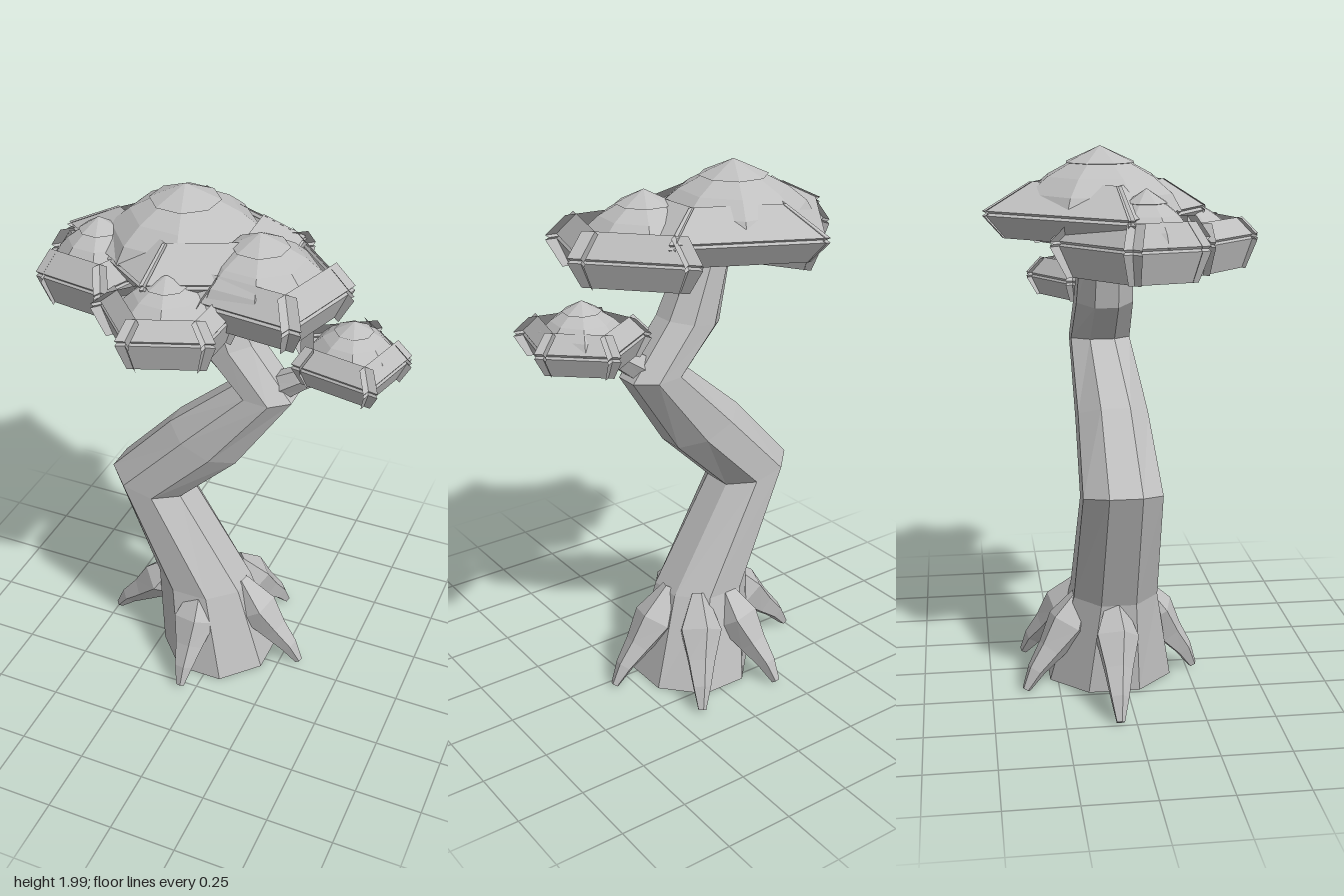
import * as THREE from 'three';

const stone = new THREE.MeshStandardMaterial({ color: 0xc0c0c0, flatShading: true, side: THREE.DoubleSide });
stone.name = 'plain grey';

// Skin a list of rings (arrays of Vector3); wrapped rings close round, the last ring can be capped
function loft(name, rings, wrap, cap) {
  const pos = [];
  const tri = (a, b, c) => [a, b, c].forEach((p) => pos.push(p.x, p.y, p.z));
  const n = rings[0].length;
  for (let i = 0; i < rings.length - 1; i++) {
    for (let j = 0; j < (wrap ? n : n - 1); j++) {
      const k = (j + 1) % n, lo = rings[i], hi = rings[i + 1];
      tri(lo[j], hi[j], lo[k]);
      tri(lo[k], hi[j], hi[k]);
    }
  }
  if (cap) {
    const last = rings[rings.length - 1];
    for (let j = 1; j < n - 1; j++) tri(last[0], last[j + 1], last[j]);
  }
  const geo = new THREE.BufferGeometry();
  geo.setAttribute('position', new THREE.Float32BufferAttribute(pos, 3));
  geo.computeVertexNormals();
  const mesh = new THREE.Mesh(geo, stone);
  mesh.name = name;
  return mesh;
}

// Tapered limb through points [x, y, z, radius]
function limb(name, pts, sides) {
  const v = pts.map((p) => new THREE.Vector3(p[0], p[1], p[2]));
  const rings = v.map((p, i) => {
    const t = v[Math.min(i + 1, v.length - 1)].clone().sub(v[Math.max(i - 1, 0)]).normalize();
    const side = new THREE.Vector3(0, 1, 0).cross(t).normalize();
    const up = t.clone().cross(side);
    return Array.from({ length: sides }, (_, j) => {
      const a = (-j / sides) * Math.PI * 2;
      return p.clone().addScaledVector(side, Math.cos(a) * pts[i][3]).addScaledVector(up, Math.sin(a) * pts[i][3]);
    });
  });
  return loft(name, rings, true, true);
}

// Bent trunk, open at the foot: [centre x, y, centre z, radius x, radius z, tilt]
function trunk() {
  const rows = [
    [-0.02, 0.01, -0.05, 0.22, 0.235, 0],
    [-0.085, 0.36, -0.035, 0.175, 0.16, 0],
    [-0.30, 0.795, -0.032, 0.145, 0.145, -0.035],
    [-0.07, 1.03, -0.04, 0.135, 0.13, -0.06],
    [0.15, 1.28, -0.06, 0.115, 0.112, -0.01],
    [0.0, 1.45, -0.06, 0.11, 0.105, 0.02],
    [-0.09, 1.72, -0.06, 0.08, 0.09, 0],
  ];
  return loft('trunk', rows.map(([x, y, z, rx, rz, tilt]) => Array.from({ length: 8 }, (_, j) => {
    const a = ((j + 0.5) / 8) * Math.PI * 2, c = Math.cos(a) / 0.95;
    return new THREE.Vector3(x + rx * c, y + tilt * c, z + (rz * Math.sin(a)) / 0.95);
  })), true, true);
}

// Claw-like root reaching from the trunk down to a tip on the ground
function root(tx, tz) {
  const cx = -0.06, cz = -0.04;
  const at = (f, y, r) => [cx + (tx - cx) * f, y, cz + (tz - cz) * f, r];
  return limb('root', [at(0.32, 0.37, 0.03), at(0.5, 0.25, 0.085), at(0.7, 0.16, 0.055),
    at(0.87, 0.09, 0.036), at(0.985, 0.02, 0.016)], 5);
}

// Foliage pad: faceted dome ringed by folded plates; spread is how far they overshoot the corners,
// inner is how far in the roof of each plate reaches
function pad(name, { cx, cz, dome, bottom, lip, top, rim, spread = 0.13, inner = 0.74 }) {
  const g = new THREE.Group();
  g.name = name;
  const h = top - lip;

  // Dome with an overhanging cap and a bowl beneath
  const profile = [[0, bottom + 0.01], [0.45, bottom + 0.025], [0.8, lip - 0.03], [0.95, lip],
    [0.84, lip + h * 0.27], [0.62, lip + h * 0.53], [0.36, lip + h * 0.73], [0.4, lip + h * 0.74], [0, top]];
  const body = new THREE.Mesh(
    new THREE.LatheGeometry(profile.map(([r, y]) => new THREE.Vector2(r * dome, y)), 8, 0.3), stone);
  body.position.set(cx, 0, cz);
  body.name = 'dome';
  g.add(body);

  // One folded plate per side: skirt, thin lip, roof
  const mx = rim.reduce((s, p) => s + p[0], 0) / rim.length;
  const mz = rim.reduce((s, p) => s + p[1], 0) / rim.length;
  rim.forEach((p, i) => {
    const q = rim[(i + 1) % rim.length];
    const row = (scale, y, over) => [-over, 1 + over].map((t) => new THREE.Vector3(
      mx + (p[0] + (q[0] - p[0]) * t - mx) * scale, y, mz + (p[1] + (q[1] - p[1]) * t - mz) * scale));
    g.add(loft('edgePlate', [row(0.84, bottom, spread * 0.8), row(1, lip - 0.012, spread),
      row(0.97, lip - 0.004, spread * 0.9), row(1, lip + 0.004, spread),
      row(inner, lip + h * 0.45, spread * 1.3)], false, false));
  });
  return g;
}

export function createModel() {
  const model = new THREE.Group();
  model.name = 'bentTree';
  model.add(trunk());

  // Roots
  [[-0.5, -0.06], [-0.06, 0.28], [0.33, -0.04], [0.15, -0.37], [-0.2, -0.38]].forEach(([x, z]) => model.add(root(x, z)));

  // Side branch carrying the low pad
  model.add(limb('branch', [[0.16, 1.28, -0.06, 0.06], [0.28, 1.36, -0.06, 0.045], [0.45, 1.45, -0.08, 0.03]], 6));

  // Foliage pads
  model.add(pad('topPad', { cx: -0.17, cz: -0.09, dome: 0.31, bottom: 1.7, lip: 1.79, top: 2, spread: 0.03, inner: 0.6,
    rim: [[-0.26, -0.48], [0.2, -0.26], [0.22, 0.1], [-0.16, 0.27], [-0.59, -0.04]] }));
  model.add(pad('leftPad', { cx: 0.14, cz: 0, dome: 0.25, bottom: 1.63, lip: 1.735, top: 1.92,
    rim: [[0.18, -0.32], [0.43, -0.06], [0.34, 0.25], [0.01, 0.21], [-0.07, -0.13]] }));
  model.add(pad('frontPad', { cx: -0.1, cz: 0.22, dome: 0.18, bottom: 1.57, lip: 1.685, top: 1.82,
    rim: [[0.1, 0.36], [-0.14, 0.45], [-0.33, 0.25], [-0.14, 0.03], [0.11, 0.13]] }));
  model.add(pad('rightPad', { cx: -0.44, cz: 0.03, dome: 0.18, bottom: 1.59, lip: 1.705, top: 1.88,
    rim: [[-0.63, -0.04], [-0.4, -0.25], [-0.25, 0], [-0.34, 0.23], [-0.58, 0.19]] }));
  model.add(pad('lowPad', { cx: 0.45, cz: -0.09, dome: 0.17, bottom: 1.39, lip: 1.47, top: 1.61,
    rim: [[0.46, -0.29], [0.63, -0.14], [0.57, 0.1], [0.31, 0.05], [0.24, -0.15]] }));
  return model;
}
